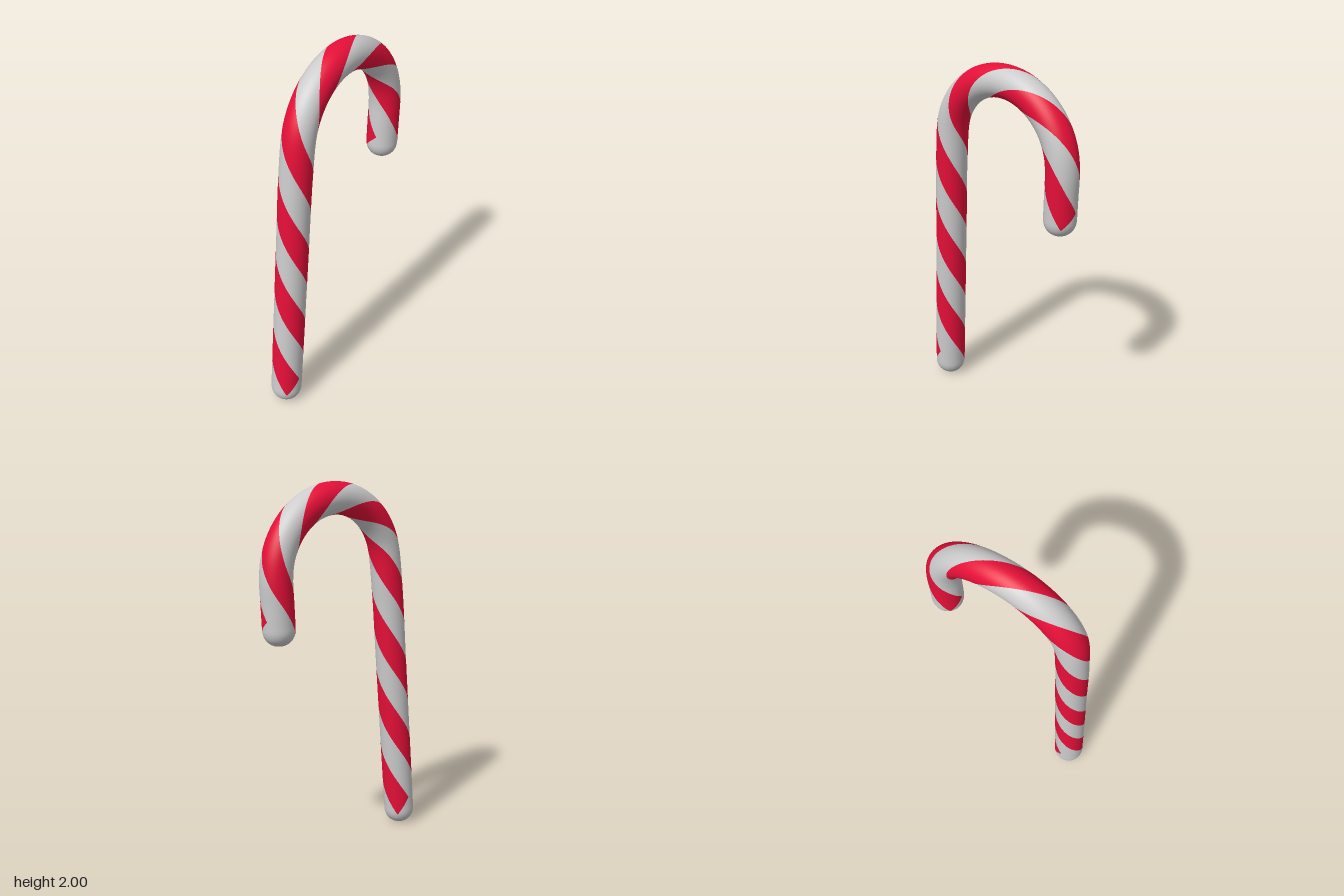
import * as THREE from 'three';

const RADIUS = 0.085;
const CAP = 0.09;
const DEG = Math.PI / 180;

// Centre line: leaning leg, half-circle hook in a slanted plane, short tail
function makePath() {
  const pts = [[-0.415, 0, 0.14], [-0.38, 0.5, 0.14], [-0.345, 1, 0.14], [-0.317, 1.4, 0.14]];
  for (let a = 165; a >= 0; a -= 15) {
    const c = Math.cos(a * DEG);
    pts.push([0.05 + 0.35 * c, 1.54 + 0.375 * Math.sin(a * DEG), -0.14 * c]);
  }
  pts.push([0.395, 1.4, -0.14], [0.387, 1.197, -0.14]);
  const curve = new THREE.CatmullRomCurve3(pts.map((p) => new THREE.Vector3(...p)));
  curve.arcLengthDivisions = 800;
  return curve;
}

export function createModel() {
  const group = new THREE.Group();
  const path = makePath();
  const length = path.getLength();
  const twist = 1162 / (length - 0.13); // degrees per unit of length
  const planeNormal = new THREE.Vector3(0.14, 0, 0.35).normalize();

  // Tube radius with rounded ends
  const radiusAt = (s) => {
    const d = Math.min(s, length - s);
    if (d >= CAP) return RADIUS;
    return RADIUS * Math.pow(1 - Math.pow(1 - Math.max(d, 0) / CAP, 2.2), 1 / 2.2);
  };

  // Surface point and smooth normal at a helix angle and a distance along the path
  function surface(phase, s) {
    const u = THREE.MathUtils.clamp(s / length, 0, 1);
    const centre = path.getPointAt(u);
    const t = path.getTangentAt(u);
    const b = planeNormal.clone().addScaledVector(t, -planeNormal.dot(t)).normalize();
    const side = new THREE.Vector3().crossVectors(t, b);
    const angle = (phase + twist * (s - 0.07)) * DEG;
    const dir = side.multiplyScalar(Math.cos(angle)).addScaledVector(b, Math.sin(angle));
    const e = 1e-5;
    const s0 = Math.max(s - e, 0), s1 = Math.min(s + e, length);
    const slope = (radiusAt(s1) - radiusAt(s0)) / (s1 - s0);
    return {
      position: centre.addScaledVector(dir, radiusAt(s)),
      normal: dir.clone().addScaledVector(t, -slope).normalize(),
    };
  }

  // Patch covering a quarter of the girth; sAt(f, v) gives the distance along the path
  function patch(name, material, phase, rows, sAt) {
    const cols = 12;
    const positions = [], normals = [], index = [];
    for (let i = 0; i <= rows; i++) {
      for (let j = 0; j <= cols; j++) {
        const f = j / cols;
        const p = surface(phase + 90 * f, sAt(f, i / rows));
        positions.push(...p.position.toArray());
        normals.push(...p.normal.toArray());
        if (i < rows && j < cols) {
          const a = i * (cols + 1) + j, c = a + cols + 1;
          index.push(a, c, a + 1, c, c + 1, a + 1);
        }
      }
    }
    const geometry = new THREE.BufferGeometry();
    geometry.setAttribute('position', new THREE.Float32BufferAttribute(positions, 3));
    geometry.setAttribute('normal', new THREE.Float32BufferAttribute(normals, 3));
    geometry.setIndex(index);
    const mesh = new THREE.Mesh(geometry, material);
    mesh.name = name;
    group.add(mesh);
  }

  const white = new THREE.MeshStandardMaterial({ color: 0xcccccc });
  const red = new THREE.MeshStandardMaterial({ color: 0xe50f38 });

  // Two red and two pale spiral bands, with slanted stripe ends and plain rounded tips
  for (let k = 0; k < 4; k++) {
    const isRed = k % 2 === 0;
    const phase = 50 + 90 * k;
    const across = (f) => (isRed ? f : 1 - f);
    const start = (f) => 0.17 - 0.1 * across(f);
    const end = (f) => length - 0.06 - 0.08 * across(f);
    patch(isRed ? 'redStripe' : 'paleStripe', isRed ? red : white, phase, 220,
      (f, v) => THREE.MathUtils.lerp(start(f), end(f), v));
    patch('legTip', white, phase, 16, (f, v) => start(f) * v * v);
    patch('hookTip', white, phase, 16,
      (f, v) => length - (length - end(f)) * (1 - v) * (1 - v));
  }
  return group;
}
